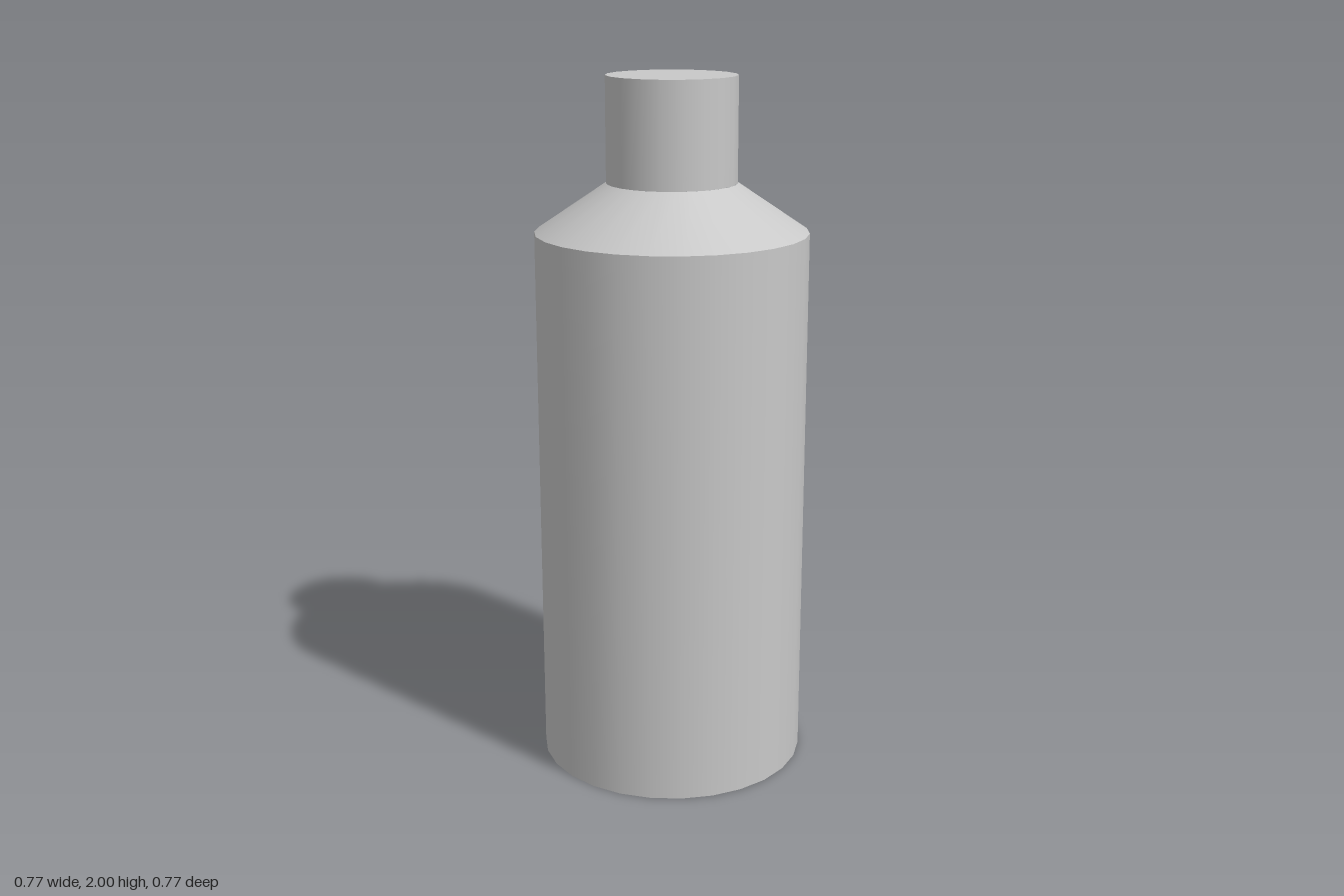
import * as THREE from 'three';

export function createModel() {
  const group = new THREE.Group();
  const grey = new THREE.MeshStandardMaterial({ color: 0xc8c8c8 });
  grey.name = 'light grey';

  // One stacked round section from y0 to y1
  function section(name, rTop, rBottom, y0, y1, sides, start, open = false) {
    const geometry = new THREE.CylinderGeometry(rTop, rBottom, y1 - y0, sides, 1, open, start);
    const mesh = new THREE.Mesh(geometry, grey);
    mesh.name = name;
    mesh.position.y = (y0 + y1) / 2;
    group.add(mesh);
  }

  // Bottle body and sloped shoulder share the same 27-sided outline
  section('body', 0.387, 0.387, 0, 1.568, 27, -Math.PI / 2);
  section('shoulder', 0.184, 0.387, 1.568, 1.705, 27, -Math.PI / 2, true);
  // Narrower neck with fewer sides
  section('neck', 0.184, 0.184, 1.705, 2, 19, Math.PI / 2);

  return group;
}
